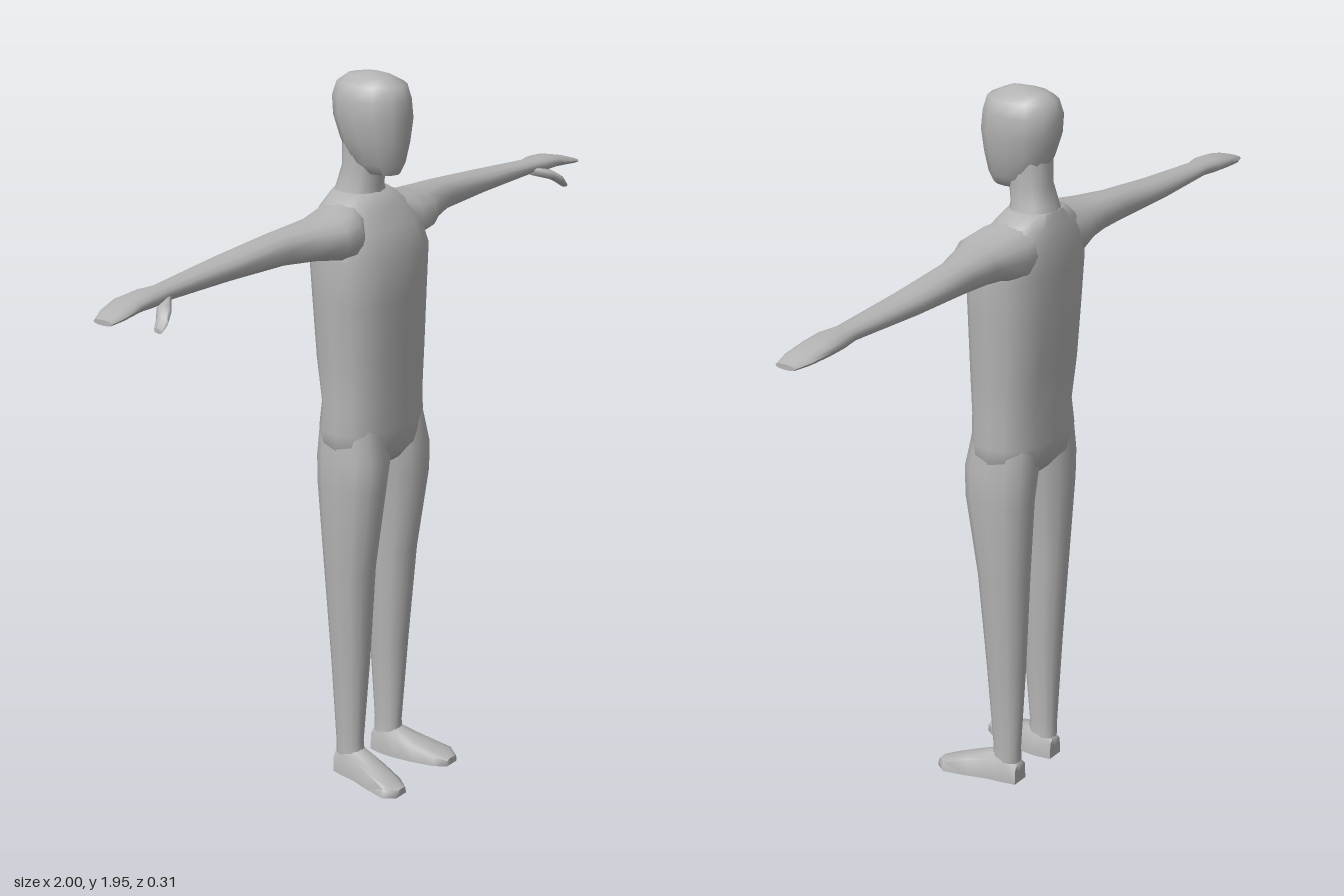
import * as THREE from 'three';
import { toCreasedNormals } from 'three/addons/utils/BufferGeometryUtils.js';

const skin = new THREE.MeshStandardMaterial({ color: 0xb4b4b4 });
skin.name = 'plain grey';

// Skins a row of rounded cross-sections along one axis.
// Section: [t, uMin, uMax, vMin, vMax]; (u, v) is (y, z) along x, (z, x) along y, (x, y) along z.
function loft(axis, sections, { power = 2.3, sides = 12, flatBase = false, mirror = false } = {}) {
  const pos = [], index = [];
  const a = 'xyz'.indexOf(axis);
  const put = (t, u, v) => {
    const p = [0, 0, 0];
    p[a] = t; p[(a + 1) % 3] = u; p[(a + 2) % 3] = v;
    if (mirror) p[0] = -p[0];
    pos.push(...p);
  };
  const tri = (i, j, k) => (mirror ? index.push(i, k, j) : index.push(i, j, k));
  const round = (c) => Math.sign(c) * Math.abs(c) ** (2 / power);
  for (const [t, u0, u1, v0, v1] of sections) {
    for (let i = 0; i < sides; i++) {
      const ang = (i / sides) * Math.PI * 2;
      const u = (u0 + u1) / 2 + round(Math.cos(ang)) * (u1 - u0) / 2;
      const v = (v0 + v1) / 2 + round(Math.sin(ang)) * (v1 - v0) / 2;
      put(t, u, flatBase && Math.sin(ang) < 0.1 ? v0 : v);
    }
  }
  const n = sections.length;
  for (let s = 0; s < n - 1; s++) {
    for (let i = 0; i < sides; i++) {
      const j = (i + 1) % sides, b = s * sides, c = b + sides;
      tri(b + i, b + j, c + j);
      tri(b + i, c + j, c + i);
    }
  }
  // end caps
  for (const s of [0, n - 1]) {
    const [t, u0, u1, v0, v1] = sections[s];
    const centre = pos.length / 3, b = s * sides;
    put(t, (u0 + u1) / 2, (v0 + v1) / 2);
    for (let i = 0; i < sides; i++) {
      const j = (i + 1) % sides;
      if (s === 0) tri(centre, b + j, b + i);
      else tri(centre, b + i, b + j);
    }
  }
  const geo = new THREE.BufferGeometry();
  geo.setAttribute('position', new THREE.Float32BufferAttribute(pos, 3));
  geo.setIndex(index);
  return toCreasedNormals(geo, 1.1);
}

// Torso rising through the sloped shoulders, [y, zBack, zFront, xMin, xMax]
const torso = [
  [0.91, -0.09, 0.04, -0.12, 0.12],
  [0.95, -0.125, 0.07, -0.16, 0.16],
  [1.01, -0.135, 0.073, -0.165, 0.165],
  [1.08, -0.127, 0.072, -0.16, 0.16],
  [1.2, -0.142, 0.077, -0.166, 0.166],
  [1.36, -0.152, 0.081, -0.174, 0.174],
  [1.48, -0.157, 0.083, -0.182, 0.182],
  [1.55, -0.154, 0.055, -0.175, 0.175],
  [1.6, -0.142, 0.022, -0.135, 0.135],
  [1.635, -0.13, -0.004, -0.08, 0.08],
];
const neck = [
  [1.6, -0.142, 0.005, -0.075, 0.075],
  [1.65, -0.125, -0.006, -0.06, 0.06],
  [1.7, -0.11, 0.002, -0.052, 0.052],
  [1.78, -0.108, 0.01, -0.055, 0.055],
];
const head = [
  [1.687, -0.05, 0.055, -0.036, 0.036],
  [1.715, -0.09, 0.068, -0.055, 0.055],
  [1.77, -0.115, 0.079, -0.071, 0.071],
  [1.83, -0.134, 0.085, -0.085, 0.085],
  [1.88, -0.138, 0.08, -0.083, 0.083],
  [1.918, -0.125, 0.068, -0.074, 0.074],
  [1.936, -0.1, 0.03, -0.045, 0.045],
  [1.946, -0.05, 0.005, -0.012, 0.012],
];
// Left limbs; the right ones are mirrored
const leg = [
  [0.06, -0.08, 0.002, 0.056, 0.118],
  [0.1, -0.08, 0.0, 0.06, 0.117],
  [0.35, -0.092, 0.018, 0.043, 0.133],
  [0.62, -0.106, 0.038, 0.036, 0.152],
  [0.85, -0.12, 0.073, 0.027, 0.167],
  [0.93, -0.125, 0.078, 0.012, 0.166],
  [1.02, -0.12, 0.06, 0.01, 0.155],
];
// [z, xMin, xMax, yMin, yMax]
const foot = [
  [-0.081, 0.06, 0.112, 0, 0.06],
  [-0.04, 0.052, 0.122, 0, 0.085],
  [0.0, 0.052, 0.128, 0, 0.08],
  [0.06, 0.06, 0.148, 0, 0.058],
  [0.125, 0.075, 0.165, 0, 0.033],
  [0.157, 0.097, 0.143, 0, 0.02],
];
// Shoulder to fingertips, [x, yMin, yMax, zBack, zFront]
const arm = [
  [0.07, 1.47, 1.625, -0.14, 0.01],
  [0.13, 1.47, 1.612, -0.145, 0.045],
  [0.19, 1.488, 1.6, -0.132, 0.045],
  [0.25, 1.497, 1.595, -0.125, 0.015],
  [0.35, 1.505, 1.588, -0.121, -0.018],
  [0.55, 1.512, 1.571, -0.124, -0.028],
  [0.79, 1.517, 1.555, -0.105, -0.038],
  [0.84, 1.514, 1.557, -0.114, -0.028],
  [0.9, 1.515, 1.551, -0.118, -0.028],
  [0.96, 1.512, 1.537, -0.108, -0.025],
  [1.0, 1.51, 1.524, -0.09, -0.032],
];
const thumb = [
  [0.78, 1.516, 1.54, -0.065, -0.04],
  [0.83, 1.499, 1.527, -0.045, 0.002],
  [0.855, 1.484, 1.508, -0.025, 0.014],
  [0.875, 1.47, 1.485, -0.015, 0.012],
];

export function createModel() {
  const figure = new THREE.Group();
  figure.name = 'figure';
  const add = (name, geometry) => {
    const mesh = new THREE.Mesh(geometry, skin);
    mesh.name = name;
    figure.add(mesh);
  };
  add('torso', loft('y', torso, { power: 2.5, sides: 16 }));
  add('neck', loft('y', neck));
  add('head', loft('y', head, { power: 2.1 }));
  for (const mirror of [false, true]) {
    const side = mirror ? 'right' : 'left';
    add(side + 'Leg', loft('y', leg, { mirror }));
    add(side + 'Foot', loft('z', foot, { mirror, flatBase: true }));
    add(side + 'Arm', loft('x', arm, { mirror }));
    add(side + 'Thumb', loft('x', thumb, { mirror, sides: 8 }));
  }
  return figure;
}
